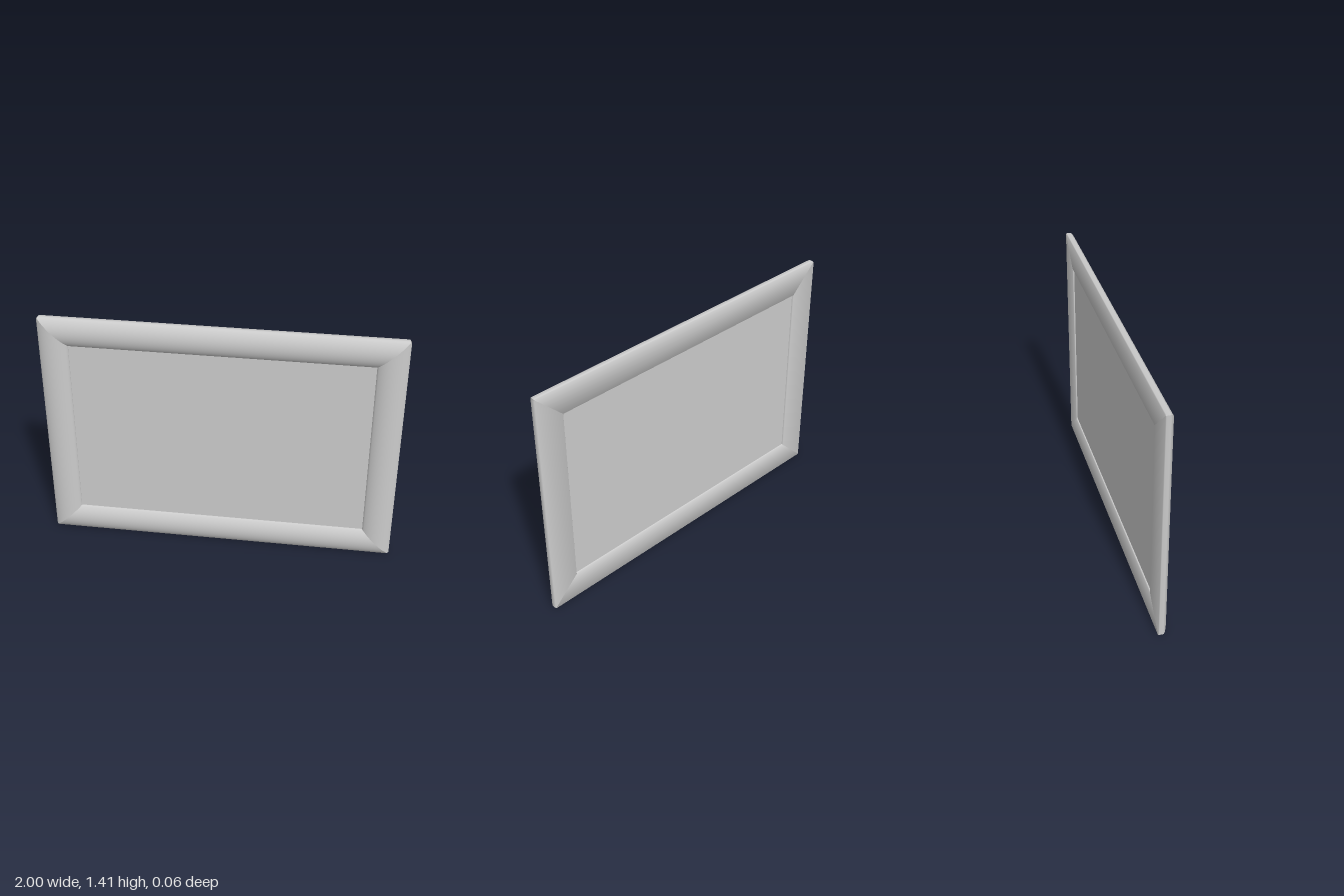
import * as THREE from 'three';

const W = 2, H = 1.41, BAR = 0.165, CUT = 0.006;

// Moulding cross-section as [distance in from the outer edge, z], a closed loop
function mouldingProfile() {
  const points = [[0.004, -0.03], [0, -0.026], [0, -0.004], [0.004, 0.002]];
  const arch = new THREE.CubicBezierCurve(
    new THREE.Vector2(0.004, 0.002), new THREE.Vector2(0.045, 0.038),
    new THREE.Vector2(0.12, 0.04), new THREE.Vector2(BAR - 0.001, 0.002));
  arch.getPoints(16).slice(1).forEach(p => points.push([p.x, p.y]));
  points.push([BAR, -0.002], [BAR, -0.026], [BAR - 0.003, -0.03]);
  return points;
}

// One mitred bar along x, its outer edge at y = 0, with slightly cut outer corners
function barGeometry(length, profile) {
  const n = profile.length;
  const edgeNormal = j => {
    const a = profile[(j + n) % n], b = profile[(j + 1) % n];
    return new THREE.Vector3(0, a[1] - b[1], b[0] - a[0]).normalize();
  };
  const positions = [], normals = [], index = [];
  for (let col = 0; col < 4; col++) {
    const side = col < 2 ? -1 : 1;
    const atMitre = col === 0 || col === 3;
    profile.forEach(([t, z], j) => {
      const inset = Math.max(t, atMitre ? CUT : 2 * CUT);
      positions.push(side * (length / 2 - inset), atMitre ? Math.max(t, CUT) : t, z);
      normals.push(...edgeNormal(j - 1).add(edgeNormal(j)).normalize().toArray());
      if (col < 3) {
        const a = col * n + j, b = col * n + (j + 1) % n;
        index.push(a, a + n, b + n, a, b + n, b);
      }
    });
  }
  const geometry = new THREE.BufferGeometry();
  geometry.setAttribute('position', new THREE.Float32BufferAttribute(positions, 3));
  geometry.setAttribute('normal', new THREE.Float32BufferAttribute(normals, 3));
  geometry.setIndex(index);
  return geometry;
}

export function createModel() {
  const model = new THREE.Group();
  model.name = 'pictureFrame';
  const material = new THREE.MeshStandardMaterial({ color: 0xcccccc });
  const profile = mouldingProfile();

  // Four mitred bars around the centre
  ['bottomBar', 'leftBar', 'topBar', 'rightBar'].forEach((name, i) => {
    const [length, across] = i % 2 ? [H, W] : [W, H];
    const geometry = barGeometry(length, profile);
    geometry.translate(0, -across / 2, 0);
    const bar = new THREE.Mesh(geometry, material);
    bar.name = name;
    bar.rotation.z = i * Math.PI / 2;
    bar.position.y = H / 2;
    model.add(bar);
  });

  // Flat panel held inside the bars
  const panel = new THREE.Mesh(
    new THREE.BoxGeometry(W - 2 * BAR + 0.004, H - 2 * BAR + 0.004, 0.018), material);
  panel.name = 'panel';
  panel.position.set(0, H / 2, -0.012);
  model.add(panel);

  return model;
}
